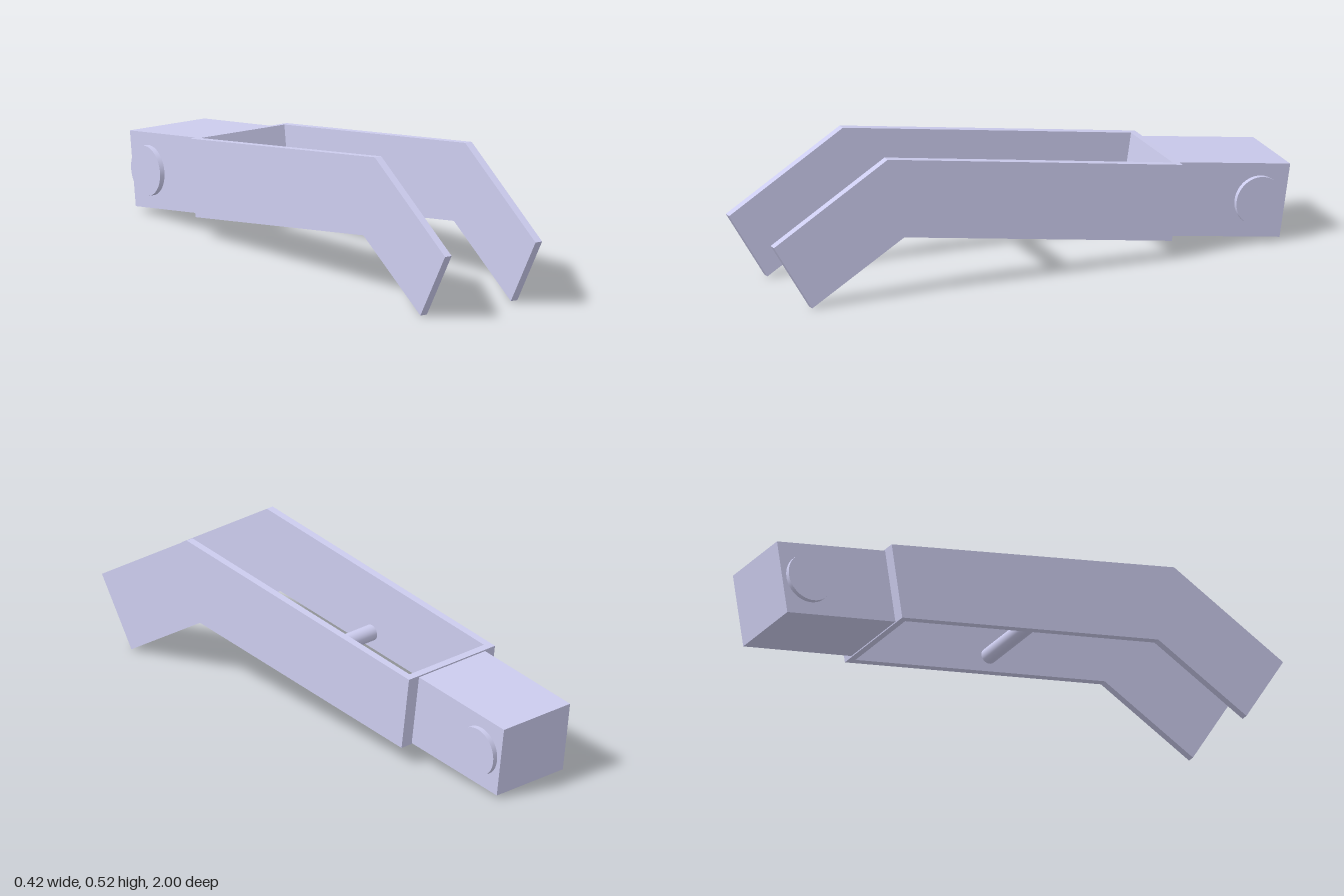
import * as THREE from 'three';

export function createModel() {
  const root = new THREE.Group();
  root.name = 'forkArm';
  const arm = new THREE.Group();
  arm.name = 'arm';
  const material = new THREE.MeshStandardMaterial({ color: 0xccccee });

  function add(name, geometry) {
    const mesh = new THREE.Mesh(geometry, material);
    mesh.name = name;
    arm.add(mesh);
  }

  // Side outline given as [z, y], extruded across x from x0 to x1
  function slab(name, outline, x0, x1) {
    const shape = new THREE.Shape(outline.map(([z, y]) => new THREE.Vector2(-z, y)));
    const g = new THREE.ExtrudeGeometry(shape, { depth: x1 - x0, bevelEnabled: false });
    g.rotateY(Math.PI / 2); // depth runs along +x
    g.translate(x0, 0, 0);
    add(name, g);
  }

  // Round bar lying along x
  function bar(name, radius, x0, x1, y, z) {
    const g = new THREE.CylinderGeometry(radius, radius, x1 - x0, 48);
    g.rotateZ(Math.PI / 2);
    g.translate((x0 + x1) / 2, y, z);
    add(name, g);
  }

  const inner = 0.179, outer = 0.207;

  // Bent side plates
  const plate = [[1, 0.246], [0.852, 0.004], [0.5, 0.22], [-0.526, 0.072], [-0.567, 0.347], [0.565, 0.515]];
  slab('leftPlate', plate, inner, outer);
  slab('rightPlate', plate, -outer, -inner);

  // Wall joining the plates at the back
  slab('backWall', [[-0.526, 0.072], [-0.567, 0.347], [-0.54, 0.351], [-0.499, 0.076]], -inner, inner);

  // Solid rear block with a round boss on each side
  slab('rearBlock', [[-0.527, 0.076], [-0.96, 0.015], [-1, 0.28], [-0.567, 0.342]], -0.159, 0.159);
  bar('leftBoss', 0.089, 0.159, 0.178, 0.163, -0.875);
  bar('rightBoss', 0.089, -0.178, -0.159, 0.163, -0.875);

  // Cross rod between the plates
  bar('crossRod', 0.029, -inner, inner, 0.212, 0.035);

  // The whole arm leans very slightly to its left
  arm.position.y = -0.25;
  const lean = new THREE.Group();
  lean.name = 'lean';
  lean.add(arm);
  lean.rotation.z = -0.01;
  lean.position.y = 0.25;
  root.add(lean);
  return root;
}
